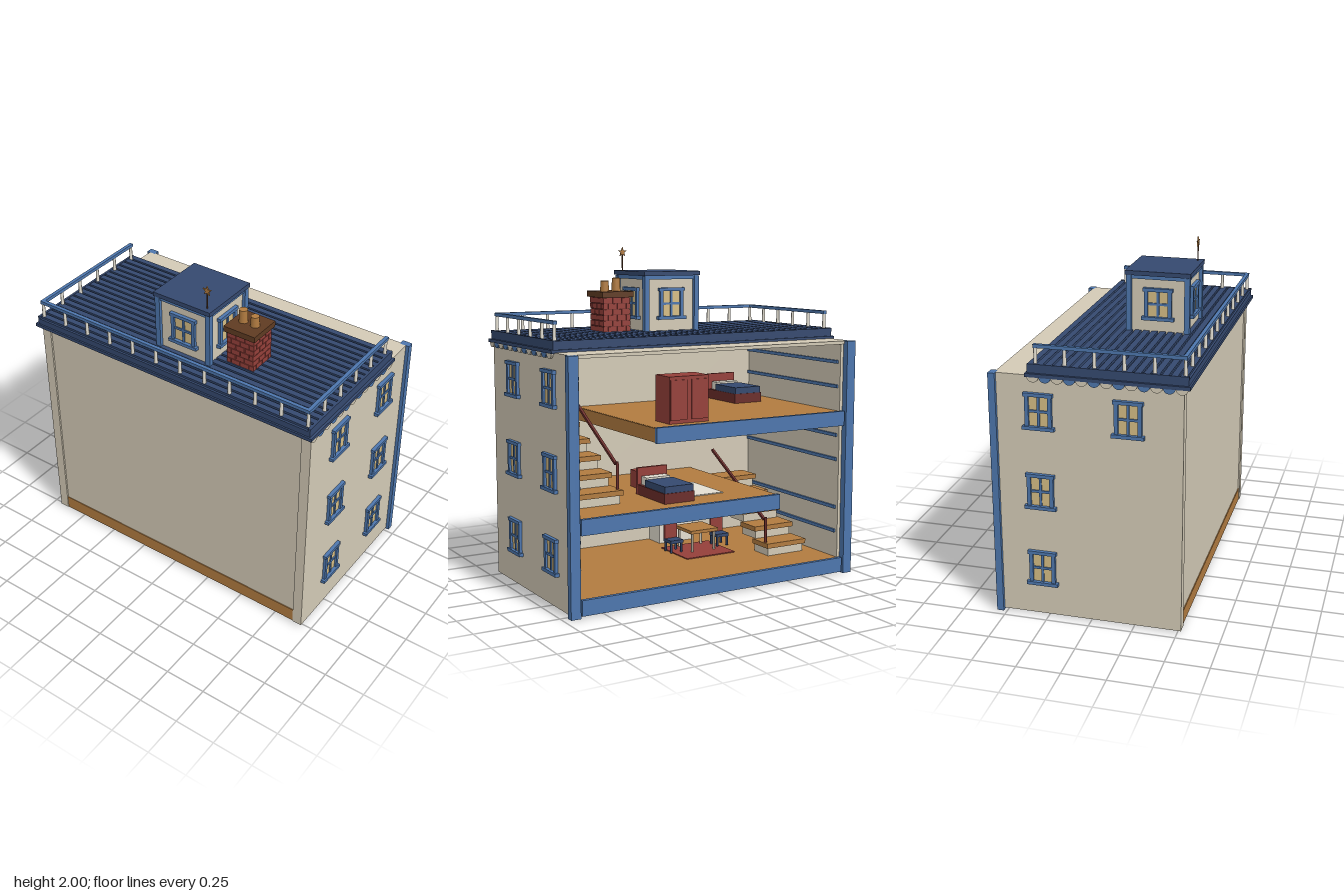
import * as THREE from 'three';

const mat = (name, color) => {
  const m = new THREE.MeshStandardMaterial({ color });
  m.name = name;
  return m;
};

export function createModel() {
  const cream = mat('cream plaster', 0xd3cab6), blue = mat('trim blue', 0x4d76ad);
  const navy = mat('roof navy', 0x35496f), wood = mat('warm wood', 0xb17b40);
  const brown = mat('dark brown', 0x5f3b22), red = mat('brick red', 0x95403a);
  const dark = mat('dark red', 0x6b2d2a), glass = mat('window yellow', 0xd6bd85);
  const white = mat('linen white', 0xe4dfd2);

  const house = new THREE.Group();
  house.name = 'dollhouse';
  const group = (name, parent = house) => {
    const g = new THREE.Group();
    g.name = name;
    parent.add(g);
    return g;
  };
  const add = (name, geo, m, parent, x = 0, y = 0, z = 0) => {
    const mesh = new THREE.Mesh(geo, m);
    mesh.name = name;
    mesh.position.set(x, y, z);
    parent.add(mesh);
    return mesh;
  };
  // Box given by its min and max on each axis
  const box = (name, m, p, x0, x1, y0, y1, z0, z1) =>
    add(name, new THREE.BoxGeometry(x1 - x0, y1 - y0, z1 - z0), m, p, (x0 + x1) / 2, (y0 + y1) / 2, (z0 + z1) / 2);
  const cyl = (name, m, p, r0, r1, h, x, y, z, n = 12) =>
    add(name, new THREE.CylinderGeometry(r1, r0, h, n), m, p, x, y + h / 2, z);

  // Shell: front, sides, posts and ceiling strip
  const shell = group('shell');
  box('frontWall', cream, shell, -0.88, 0.88, 0.09, 1.44, 0.47, 0.51);
  for (const s of [-1, 1]) {
    const [a, b] = s > 0 ? [0.88, 0.94] : [-0.94, -0.88];
    box('sideWall', cream, shell, a, b, 0.01, 1.44, -0.52, 0.52);
    const [c, d] = s > 0 ? [0.9, 0.96] : [-0.96, -0.9];
    box('backPost', blue, shell, c, d, 0, 1.44, -0.56, -0.52);
    // Rails along the inside of the side walls
    for (const y of [0.25, 0.4, 0.7, 0.85, 1.15, 1.3])
      box('wallRail', blue, shell, s * 0.875 - 0.007, s * 0.875 + 0.007, y, y + 0.02, -0.5, 0.47);
  }
  box('lowerWallpaper', dark, shell, 0.873, 0.88, 0.09, 0.45, -0.5, 0.47);
  box('upperWallpaper', dark, shell, 0.873, 0.88, 1.1, 1.42, -0.5, 0.1);
  box('ceilingStrip', cream, shell, -0.9, 0.9, 1.42, 1.44, -0.53, -0.34);

  // Floors, the upper two leaving a stairwell at opposite ends
  const floors = group('floors');
  for (const [name, x0, x1, y] of [['ground', -0.88, 0.88, 0.095], ['middle', -0.41, 0.88, 0.545], ['upper', -0.88, 0.41, 1.01]]) {
    box(name + 'Floor', wood, floors, x0, x1, y - (y < 0.1 ? 0.085 : 0.03), y, -0.53, y < 0.1 ? 0.515 : 0.47);
    if (y > 0.1) {
      box(name + 'Ceiling', cream, floors, x0, x1, y - 0.08, y - 0.03, -0.53, 0.47);
      const end = x0 > -0.8 ? x0 : x1;
      box(name + 'FloorEnd', wood, floors, end - 0.008, end + 0.008, y - 0.081, y - 0.001, -0.53, 0.47);
    }
    box(name + 'FloorEdge', blue, floors, x0 - 0.01, x1 + 0.01, y - 0.085, y + 0.005, -0.555, -0.53);
  }

  // Window facing +z, turned and placed by its group
  const windowAt = (parent, x, y, z, turn, w = 0.13, h = 0.17) => {
    const g = group('window', parent);
    g.position.set(x, y, z);
    g.rotation.y = turn;
    box('glass', glass, g, -w / 2, w / 2, -h / 2, h / 2, -0.002, 0.005);
    for (const s of [-1, 1])
      box('frameSide', blue, g, s * w / 2 - 0.011, s * w / 2 + 0.011, -h / 2, h / 2, 0, 0.018);
    box('mullion', blue, g, -0.007, 0.007, -h / 2, h / 2, 0, 0.012);
    box('crossbar', blue, g, -w / 2, w / 2, -0.007, 0.007, 0, 0.012);
    box('lintel', blue, g, -w / 2 - 0.018, w / 2 + 0.018, h / 2, h / 2 + 0.02, 0, 0.022);
    box('sill', blue, g, -w / 2 - 0.026, w / 2 + 0.026, -h / 2 - 0.02, -h / 2, 0, 0.026);
  };
  for (const y of [0.3, 0.77, 1.24]) {
    windowAt(shell, 0.94, y, 0.22, Math.PI / 2);
    windowAt(shell, 0.94, y, -0.28, Math.PI / 2);
    windowAt(shell, -0.94, y, -0.28, -Math.PI / 2);
  }
  windowAt(shell, -0.94, 1.24, 0.22, -Math.PI / 2);

  // Roof deck with raised boards running across
  const roof = group('roof');
  box('eave', navy, roof, -0.96, 0.96, 1.435, 1.455, -0.35, 0.555);
  box('deck', navy, roof, -0.94, 0.94, 1.45, 1.49, -0.34, 0.545);
  for (let i = 0; i < 18; i++) {
    const z = -0.34 + i * 0.0492;
    box('board', navy, roof, -0.94, 0.94, 1.485, 1.503, z, z + 0.036);
  }
  for (const s of [-1, 1]) box('sideCurb', navy, roof, s * 0.938 - 0.007, s * 0.938 + 0.007, 1.45, 1.505, -0.34, 0.545);

  // Scalloped valance along the sides and back
  const half = new THREE.Shape();
  half.absarc(0, 0, 0.034, Math.PI, Math.PI * 2);
  const scallop = new THREE.ExtrudeGeometry(half, { depth: 0.012, bevelEnabled: false, curveSegments: 10 });
  const valance = group('valance', roof);
  for (let i = 0; i < 13; i++)
    for (const s of [-1, 1]) {
      const m = add('scallop', scallop, i % 2 ? blue : cream, valance, s > 0 ? 0.943 : -0.955, 1.44, 0.51 - i * 0.068);
      m.rotation.y = Math.PI / 2;
    }
  for (let i = 0; i < 26; i++)
    add('backScallop', scallop, i % 2 ? blue : cream, valance, -0.85 + i * 0.068, 1.437, -0.345);

  // Railing on the front and both sides
  const railing = group('railing', roof);
  const post = (x, z) => cyl('baluster', white, railing, 0.011, 0.009, 0.1, x, 1.495, z, 8);
  for (let i = 0; i < 12; i++) post(-0.917 + i * 0.1667, 0.52);
  for (const s of [-1, 1]) {
    for (let i = 1; i < 6; i++) post(s * 0.917, 0.52 - i * 0.164);
    box('sideRail', blue, railing, s * 0.917 - 0.011, s * 0.917 + 0.011, 1.59, 1.61, -0.31, 0.53);
  }
  box('frontRail', blue, railing, -0.928, 0.928, 1.59, 1.61, 0.509, 0.531);

  // Roof room with corner posts and a window on each side
  const cupola = group('roofRoom');
  cupola.position.set(-0.003, 0, 0.19);
  box('walls', cream, cupola, -0.168, 0.168, 1.49, 1.83, -0.168, 0.168);
  for (const x of [-0.172, 0.172])
    for (const z of [-0.172, 0.172])
      box('cornerPost', blue, cupola, x - 0.016, x + 0.016, 1.5, 1.83, z - 0.016, z + 0.016);
  box('cornice', blue, cupola, -0.182, 0.182, 1.81, 1.835, -0.182, 0.182);
  box('cap', navy, cupola, -0.193, 0.193, 1.832, 1.858, -0.193, 0.193);
  for (let i = 0; i < 4; i++) {
    const a = i * Math.PI / 2;
    windowAt(cupola, Math.sin(a) * 0.168, 1.665, Math.cos(a) * 0.168, a, 0.14, 0.15);
  }

  // Star on a thin pole
  const star = new THREE.Shape();
  for (let i = 0; i < 10; i++) {
    const r = i % 2 ? 0.012 : 0.03, a = Math.PI / 2 + i * Math.PI / 5;
    star[i ? 'lineTo' : 'moveTo'](Math.cos(a) * r, Math.sin(a) * r);
  }
  star.closePath();
  const vane = group('starPole');
  cyl('pole', brown, vane, 0.004, 0.004, 0.11, 0.15, 1.855, 0.35, 6);
  add('star', new THREE.ExtrudeGeometry(star, { depth: 0.008, bevelEnabled: false }), wood, vane, 0.15, 1.97, 0.346);

  // Chimney with staggered raised bricks
  const chimney = group('chimney');
  chimney.position.set(0.32, 0, 0.19);
  box('core', dark, chimney, -0.084, 0.084, 1.49, 1.71, -0.084, 0.084);
  for (let r = 0; r < 6; r++)
    for (let f = 0; f < 4; f++) {
      const side = group('brickCourse', chimney);
      side.rotation.y = f * Math.PI / 2;
      const cuts = r % 2 ? [-0.09, -0.03, 0.03, 0.09] : [-0.09, -0.06, 0, 0.06, 0.09];
      for (let i = 0; i + 1 < cuts.length; i++)
        box('brick', red, side, cuts[i] + 0.002, cuts[i + 1] - 0.002, 1.501 + r * 0.034, 1.532 + r * 0.034, 0.08, 0.09);
    }
  box('cap', brown, chimney, -0.103, 0.103, 1.705, 1.74, -0.103, 0.103);
  cyl('pot', wood, chimney, 0.027, 0.024, 0.08, -0.04, 1.738, 0, 16);
  cyl('pot', wood, chimney, 0.027, 0.024, 0.064, 0.037, 1.738, 0, 16);

  // Two stairs with cream risers and wooden treads
  for (const [x, y] of [[-0.66, 0.095], [0.64, 0.545]]) {
    const stair = group('stairs');
    for (let i = 0; i < 5; i++) {
      const z = -0.28 + i * 0.14, top = y + 0.08 * (i + 1);
      box('riser', cream, stair, x - 0.13, x + 0.13, top - 0.08, top - 0.03, z, z + 0.15);
      box('tread', wood, stair, x - 0.145, x + 0.145, top - 0.03, top, z - 0.015, z + 0.15);
    }
    const px = x - Math.sign(x) * 0.13;
    cyl('newel', dark, stair, 0.009, 0.009, 0.17, px, y + 0.07, -0.25, 8);
    const rail = box('handrail', dark, stair, px - 0.008, px + 0.008, y + 0.39, y + 0.406, -0.28, 0.42);
    rail.rotation.x = -0.52;
  }

  // Furniture
  const furniture = group('furniture');
  box('wardrobe', red, furniture, 0.02, 0.28, 1.01, 1.28, -0.45, -0.29);
  for (const x of [0.08, 0.22]) box('wardrobeDoor', red, furniture, x - 0.055, x + 0.055, 1.03, 1.26, -0.457, -0.449);
  const bed = (x, y, z) => {
    const g = group('bed', furniture);
    g.position.set(x, y, z);
    box('frame', dark, g, -0.1, 0.1, 0, 0.06, -0.16, 0.16);
    box('blanket', navy, g, -0.095, 0.095, 0.06, 0.1, -0.155, 0.08);
    box('pillow', white, g, -0.08, 0.08, 0.06, 0.11, 0.085, 0.15);
    box('headboard', red, g, -0.1, 0.1, 0, 0.16, 0.16, 0.18);
  };
  bed(0.2, 0.545, -0.27);
  bed(-0.62, 1.01, 0.25);
  box('paleRug', white, furniture, -0.16, 0.06, 0.545, 0.551, -0.33, 0.02);
  box('chest', red, furniture, 0.05, 0.22, 0.545, 0.65, 0.0, 0.13);
  box('redRug', red, furniture, -0.4, -0.05, 0.095, 0.101, -0.1, 0.22);
  // Table and chairs
  const legged = (name, m, legM, x, z, w, h) => {
    const g = group(name, furniture);
    g.position.set(x, 0.1, z);
    box('top', m, g, -w, w, h - 0.02, h, -w, w);
    for (const sx of [-1, 1])
      for (const sz of [-1, 1]) cyl('leg', legM, g, 0.008, 0.008, h - 0.02, sx * w * 0.8, 0, sz * w * 0.8, 6);
    return g;
  };
  legged('table', wood, cream, -0.24, 0.1, 0.1, 0.14);
  for (const x of [-0.07, -0.41]) {
    const chair = legged('chair', navy, navy, x, 0.1, 0.045, 0.08);
    box('backrest', red, chair, -0.045, 0.045, 0.08, 0.17, 0.03, 0.045);
  }
  box('counter', white, furniture, -0.35, -0.1, 0.095, 0.23, 0.33, 0.46);
  box('counterTop', wood, furniture, -0.36, -0.09, 0.23, 0.26, 0.32, 0.465);
  return house;
}
